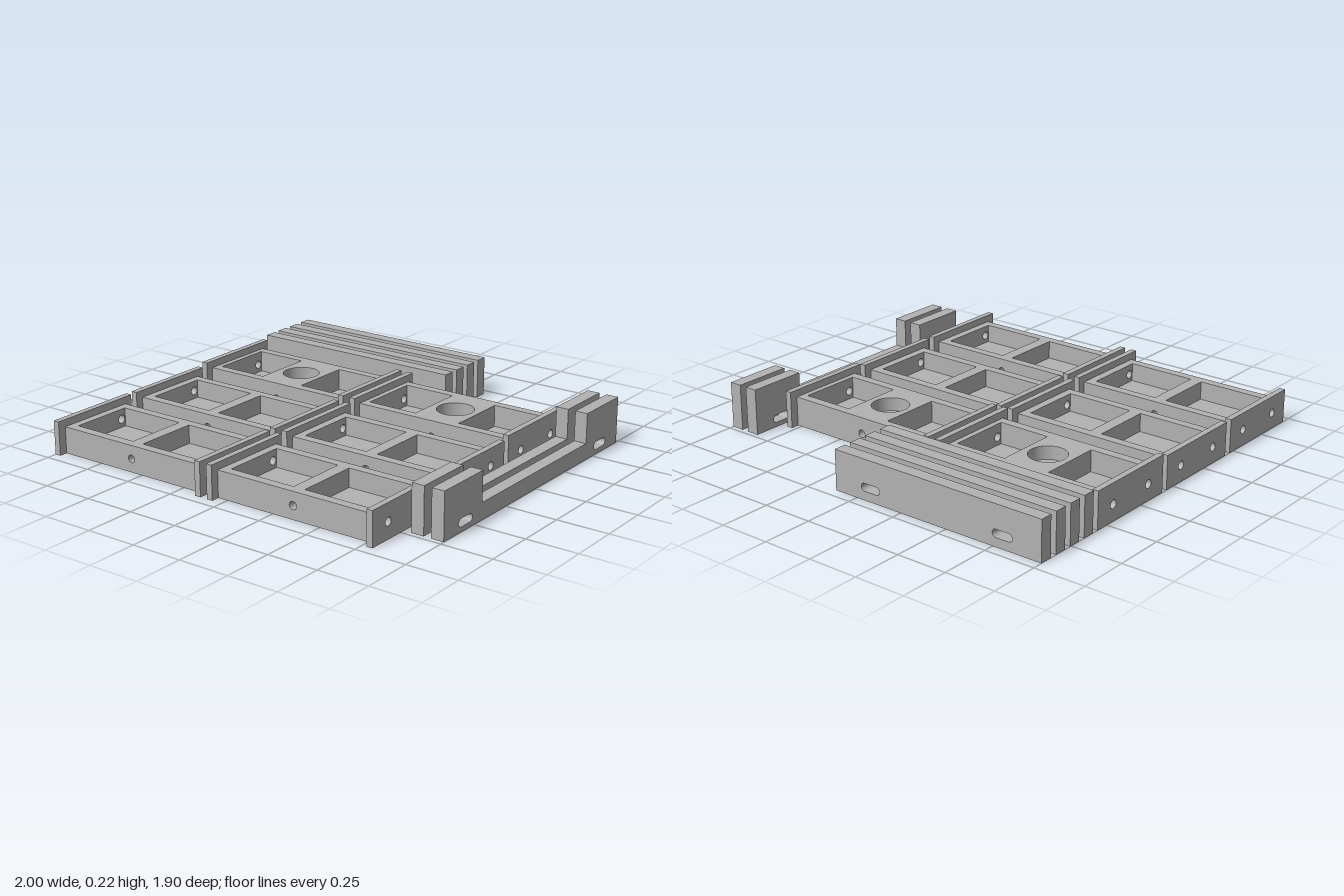
import * as THREE from 'three';

const grey = new THREE.MeshStandardMaterial({ color: 0xb2b2b2 });
grey.name = 'plain grey';

// Polygon outline with optional round holes [u, v, r] or slots [u, v, r, halfLength]
function outline(points, holes = []) {
  const shape = new THREE.Shape(points.map(([u, v]) => new THREE.Vector2(u, v)));
  for (const [u, v, r, half = 0] of holes) {
    const hole = new THREE.Path();
    hole.absarc(u + Math.max(half - r, 0), v, r, -Math.PI / 2, Math.PI / 2, false);
    hole.absarc(u - Math.max(half - r, 0), v, r, Math.PI / 2, Math.PI * 1.5, false);
    shape.holes.push(hole);
  }
  return shape;
}

const rect = (u0, u1, v0, v1, holes) =>
  outline([[u0, v0], [u1, v0], [u1, v1], [u0, v1]], holes);

// Extrude a shape along one axis from a to b: z uses (x,y), x uses (z,y), y uses (x,z)
function slab(name, shape, axis, a, b) {
  const depth = b - a;
  const geo = new THREE.ExtrudeGeometry(shape, { depth, bevelEnabled: false, curveSegments: 16 });
  geo.translate(0, 0, -depth / 2);
  if (axis === 'x') geo.rotateY(-Math.PI / 2);
  if (axis === 'y') geo.rotateX(Math.PI / 2);
  const mesh = new THREE.Mesh(geo, grey);
  mesh.name = name;
  mesh.position[axis] = (a + b) / 2;
  return mesh;
}

// Tray with two pockets, drilled walls and an end flange on each side
function tray(height, bored) {
  const g = new THREE.Group();
  g.name = bored ? 'boredTray' : 'tray';
  const bodyX = 0.411, bodyZ = 0.2, endX = 0.441, flangeZ = 0.241;
  const pocketX = bored ? 0.384 : 0.372, pocketZ = 0.155, floorY = 0.04;
  const webX = bored ? 0.12 : 0.03;
  const bolt = [[0, 0.065, 0.019]];
  const pins = [[-0.13, 0.08, 0.02], [0.13, 0.08, 0.02]];
  const bore = bored ? [[0, 0, 0.036]] : [];

  g.add(slab('floor', rect(-pocketX, pocketX, -pocketZ, pocketZ, bore), 'y', 0, floorY));
  for (const s of [-1, 1]) {
    const span = (p, q) => (s > 0 ? [p, q] : [-q, -p]);
    g.add(slab('longWall', rect(-bodyX, bodyX, 0, height, bolt), 'z', ...span(pocketZ, bodyZ)));
    g.add(slab('endWall', rect(-pocketZ, pocketZ, 0, height, pins), 'x', ...span(pocketX, bodyX)));
    g.add(slab('flange', rect(-flangeZ, flangeZ, 0, height + 0.035, pins), 'x', ...span(bodyX, endX)));
  }
  if (bored) {
    // Centre block with a wide counterbore above the through hole
    g.add(slab('boreSeat', rect(-webX, webX, -pocketZ, pocketZ, bore), 'y', floorY, 0.08));
    g.add(slab('counterbore', rect(-webX, webX, -pocketZ, pocketZ, [[0, 0, 0.09]]), 'y', 0.08, height));
  } else {
    g.add(slab('web', rect(-webX, webX, floorY, height, bolt), 'z', -pocketZ, pocketZ));
  }
  return g;
}

export function createModel() {
  const model = new THREE.Group();
  model.name = 'trayKit';

  // Two columns and three rows of trays
  for (const x of [-0.559, 0.36]) {
    for (const [z, height, bored] of [[-0.325, 0.145, true], [0.19, 0.13, false], [0.709, 0.13, false]]) {
      const t = tray(height, bored);
      t.position.set(x, 0, z);
      model.add(t);
    }
  }

  // Four straight slotted bars at the back
  const barSlots = [[-0.8, 0.062, 0.019, 0.052], [-0.08, 0.062, 0.019, 0.052]];
  for (let i = 0; i < 4; i++) {
    const z = -0.95 + i * 0.0965;
    model.add(slab('slottedBar', rect(-1, 0.122, 0, 0.195, barSlots), 'z', z, z + 0.062));
  }

  // Two long rails with raised slotted ends
  const end = 0.727, step = 0.437, low = 0.08, high = 0.225;
  const rail = outline(
    [[-end, 0], [end, 0], [end, high], [step, high], [step, low], [-step, low], [-step, high], [-end, high]],
    [[-0.565, 0.042, 0.019, 0.052], [0.565, 0.042, 0.019, 0.052]]
  );
  for (const x of [0.838, 0.937]) model.add(slab('raisedEndRail', rail, 'x', x, x + 0.062));

  return model;
}
